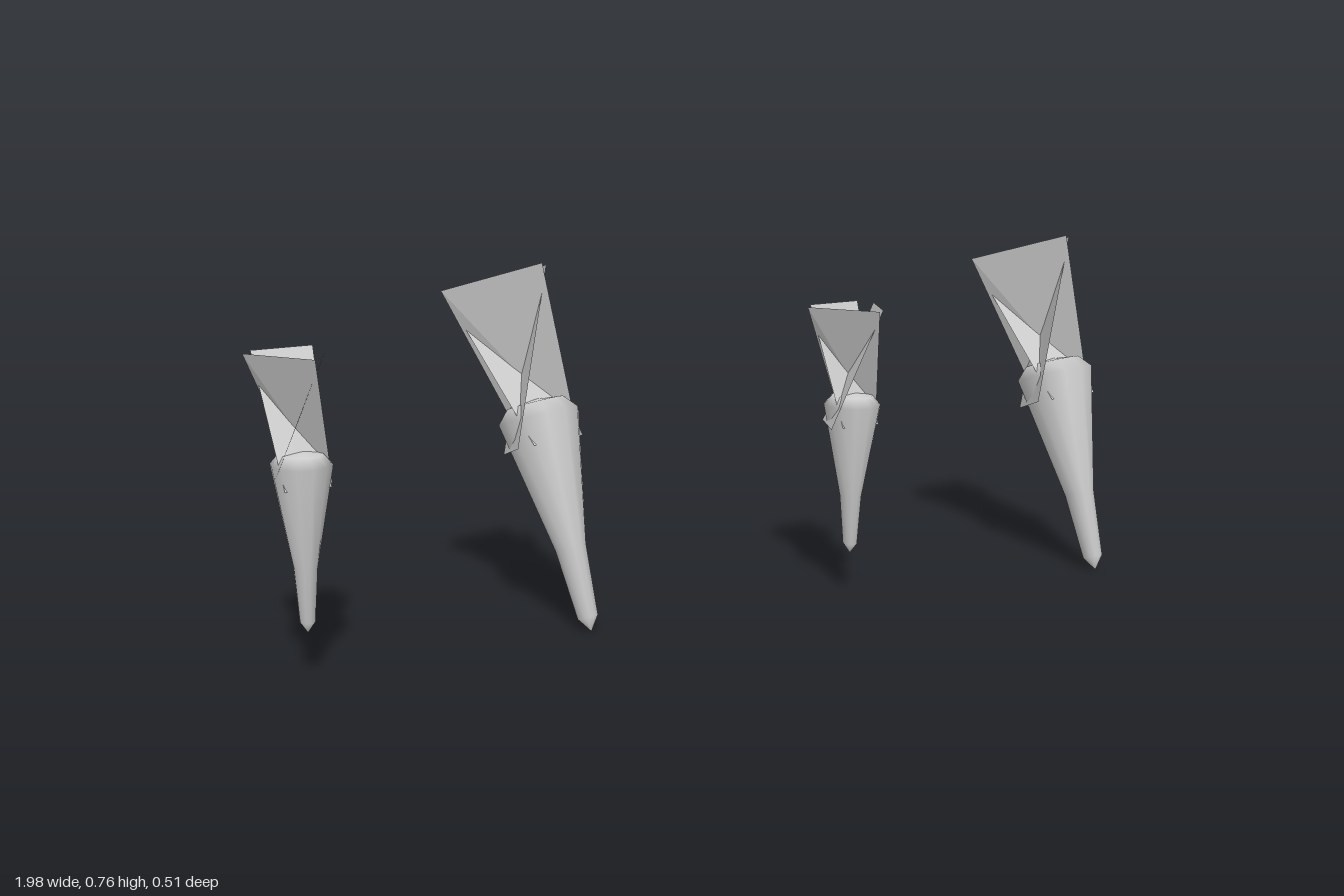
import * as THREE from 'three';

const bodyMaterial = new THREE.MeshStandardMaterial({ color: 0xcccccc });
const leafMaterial = new THREE.MeshStandardMaterial({ color: 0xcccccc, side: THREE.DoubleSide, flatShading: true });

// Tapering root, slightly narrower from side to side: radius, height along the axis
const ROOT_PROFILE = [
  [0, 0], [0.0245, 0.031], [0.037, 0.179], [0.096, 0.46], [0.068, 0.488], [0, 0.496],
].map(([r, y]) => new THREE.Vector2(r, y));
const ROOT_FLATTENING = 0.845;

// Each leaf is a broad blade crossing the root: low corners on one side, high ones opposite (x, z)
const LEAF_BOTTOM = 0.4;
const LEAF_TOP = 0.756;
const LEAVES = [
  { name: 'leftLeaf', low: [[-0.105, 0.047], [-0.042, -0.095]], high: [[0.025, 0.116], [0.095, -0.034]] },
  { name: 'rightLeaf', low: [[0.08, 0.01], [0.03, -0.108]], high: [[0, 0.135], [-0.13, -0.05]] },
  { name: 'backLeaf', low: [[-0.064, 0.047], [0.064, 0.047]], high: [[-0.095, -0.09], [0.075, -0.09]] },
];

function makeLeaf({ name, low, high }) {
  const corners = [
    ...low.map(([x, z]) => [x, LEAF_BOTTOM, z]),
    ...high.map(([x, z]) => [x, LEAF_TOP, z]),
  ];
  const geometry = new THREE.BufferGeometry();
  geometry.setAttribute('position', new THREE.Float32BufferAttribute(corners.flat(), 3));
  geometry.setIndex([0, 1, 3, 0, 3, 2]);
  geometry.computeVertexNormals();
  const leaf = new THREE.Mesh(geometry, leafMaterial);
  leaf.name = name;
  return leaf;
}

// One carrot with its tip at the group's origin
function makeCarrot(name, position, scale, [rx, ry, rz]) {
  const carrot = new THREE.Group();
  carrot.name = name;
  const root = new THREE.Mesh(new THREE.LatheGeometry(ROOT_PROFILE, 12), bodyMaterial);
  root.name = 'root';
  root.scale.x = ROOT_FLATTENING;
  carrot.add(root, ...LEAVES.map(makeLeaf));
  carrot.position.set(...position);
  carrot.rotation.set(rx, ry, rz, 'YXZ');
  carrot.scale.setScalar(scale);
  return carrot;
}

export function createModel() {
  const model = new THREE.Group();
  model.name = 'carrots';
  model.add(
    // Small upright carrots
    makeCarrot('smallCarrotRight', [-0.9, 0.09, 0.06], 0.725, [0, 0, 0]),
    makeCarrot('smallCarrotLeft', [0.335, 0.09, 0.1], 0.725, [0, 0, 0]),
    // Large carrots leaning back
    makeCarrot('largeCarrotRight', [-0.295, 0.002, 0.077], 1, [-0.326, 0.2, 0.035]),
    makeCarrot('largeCarrotLeft', [0.922, 0.002, 0.24], 1, [-0.326, 0.03, 0.03]),
  );
  return model;
}
